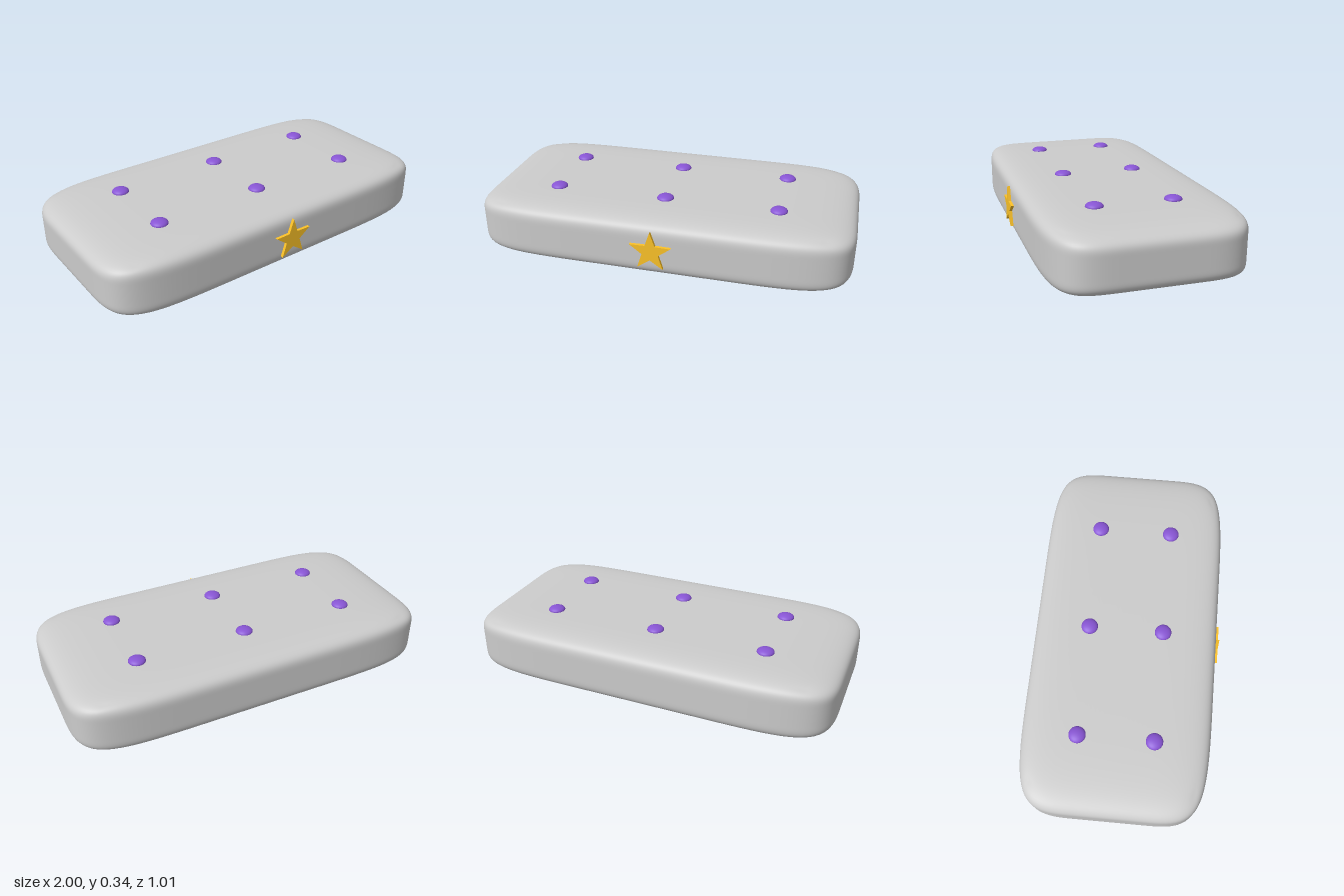
import * as THREE from 'three';
import { mergeVertices } from 'three/addons/utils/BufferGeometryUtils.js';

const K = 0.4; // where the rounding begins, as a share of the half size

// Cubic spline around a corner: how far along (f) and how far the edge drops (d)
function round(c) {
  const a = Math.abs(c), start = (3 * K + 1) / 6;
  if (a <= K) return { f: (c / K) * start, d: 0, t: 0 };
  const t = (a - K) / (1 - K);
  const f = (-K * (1 - t) ** 3 + K * (3 * t ** 3 - 6 * t * t + 4) + (-3 * t ** 3 + 3 * t * t + 3 * t + 1) + t ** 3) / 6;
  return { f: Math.sign(c) * f, d: (t ** 3 * (1 - K)) / 6, t };
}

// Soft cushion-like block made by rounding every face of a cube
function softBlock(w, h, d) {
  const box = new THREE.BoxGeometry(2, 2, 2, 40, 40, 40);
  box.deleteAttribute('uv');
  box.deleteAttribute('normal');
  const geo = mergeVertices(box, 1e-4);
  const pos = geo.attributes.position;
  for (let i = 0; i < pos.count; i++) {
    const p = [pos.getX(i), pos.getY(i), pos.getZ(i)];
    const n = p.findIndex((c) => Math.abs(c) > 0.9999);
    const u = (n + 1) % 3, v = (n + 2) % 3;
    const a = round(p[u]), b = round(p[v]);
    const blend = 4.5 * a.d * b.d;
    const q = [];
    q[n] = Math.sign(p[n]) * (1 - a.d - b.d + blend);
    q[u] = a.f - Math.sign(p[u]) * a.t ** 3 * (b.d - blend);
    q[v] = b.f - Math.sign(p[v]) * b.t ** 3 * (a.d - blend);
    pos.setXYZ(i, (q[0] * w) / 2, (q[1] * h) / 2, (q[2] * d) / 2);
  }
  geo.computeVertexNormals();
  return geo;
}

export function createModel() {
  const model = new THREE.Group();
  const add = (name, geometry, color, x, y, z) => {
    const mesh = new THREE.Mesh(geometry, new THREE.MeshStandardMaterial({ color }));
    mesh.name = name;
    mesh.position.set(x, y, z);
    model.add(mesh);
  };

  // Body
  add('body', softBlock(2, 0.318, 0.995), 0xf6f8f9, 0, 0.16, -0.007);

  // Two rows of three flattened studs on top
  const stud = new THREE.SphereGeometry(0.045, 32, 16).scale(1, 0.47, 1);
  for (const x of [-0.6, 0, 0.6])
    for (const z of [-0.205, 0.195]) add('topStud', stud, 0x8855d4, x, 0.319, z);

  // Five-pointed star on the front
  const points = [];
  for (let i = 0; i < 10; i++) {
    const r = i % 2 ? 0.045 : 0.113, a = Math.PI / 2 + (i * Math.PI) / 5;
    points.push(new THREE.Vector2(r * Math.cos(a), r * Math.sin(a)));
  }
  const star = new THREE.ExtrudeGeometry(new THREE.Shape(points), { depth: 0.016, bevelEnabled: false });
  add('frontStar', star, 0xfcc228, 0, 0.162, 0.49);

  return model;
}
